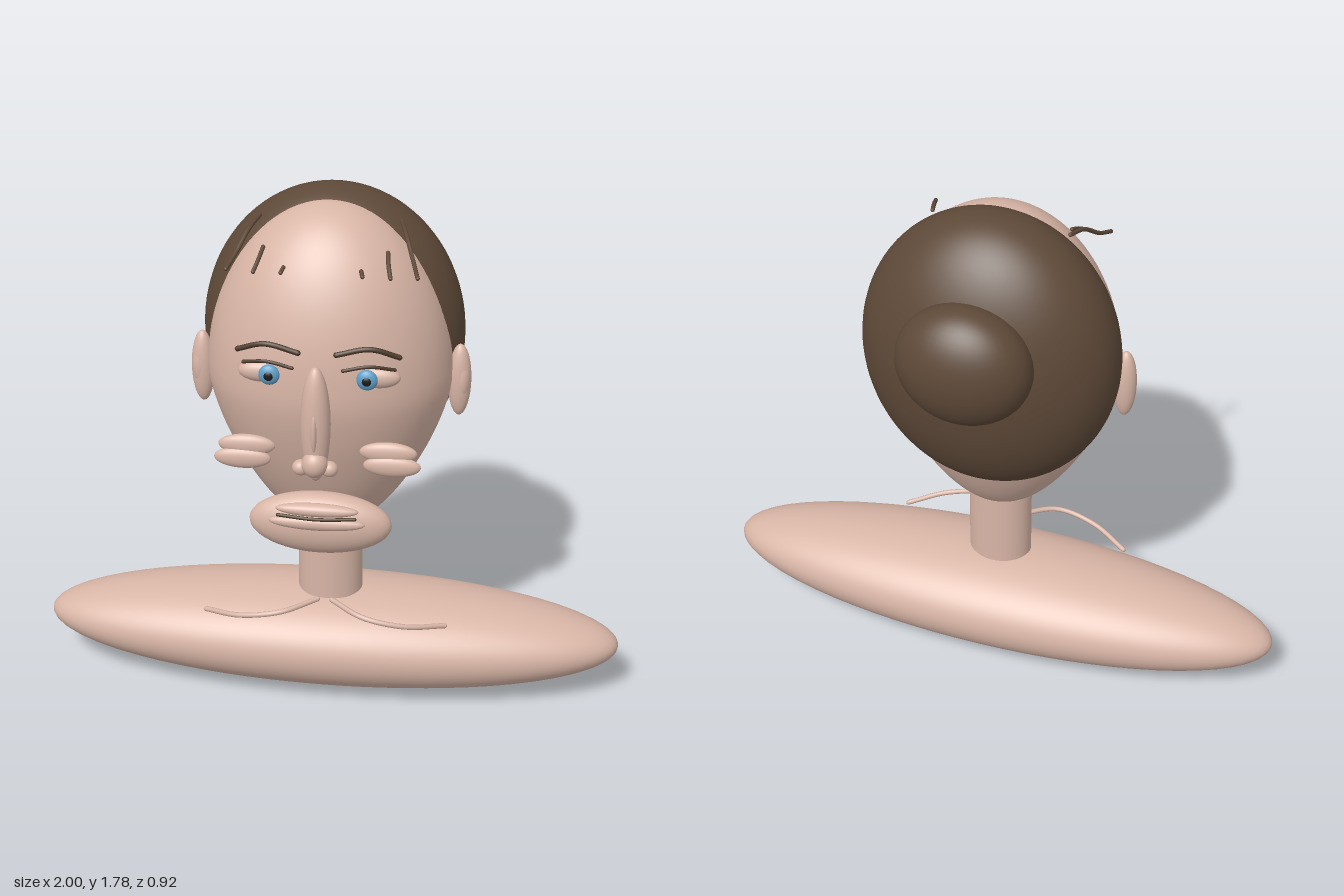
import * as THREE from 'three';
import { mergeVertices } from 'three/addons/utils/BufferGeometryUtils.js';

const mat = (name, color) => {
  const m = new THREE.MeshStandardMaterial({ color });
  m.name = name;
  return m;
};

export function createModel() {
  const skin = mat('skin', 0xd8b5a6);
  const hair = mat('hair', 0x5e4938);
  const brow = mat('brow', 0x4a3728);
  const iris = mat('iris', 0x5f9fc8);
  const pupil = mat('pupil', 0x1c1a1a);

  const model = new THREE.Group();
  model.name = 'bust';

  const add = (name, geometry, material) => {
    const mesh = new THREE.Mesh(geometry, material);
    mesh.name = name;
    model.add(mesh);
    return mesh;
  };
  // Ellipsoid from a centre and three radii
  const ellipsoid = (name, center, radii, material, segments = 32) => {
    const g = new THREE.SphereGeometry(1, segments, Math.ceil(segments * 0.75));
    g.scale(...radii);
    g.translate(...center);
    return add(name, g, material);
  };
  // Round strand through points, closed with small balls at its ends
  const strand = (name, points, radius, material) => {
    const pts = points.map((p) => new THREE.Vector3(...p));
    const curve = new THREE.CatmullRomCurve3(pts);
    add(name, new THREE.TubeGeometry(curve, 20, radius, 8), material);
    for (const p of [pts[0], pts[pts.length - 1]]) {
      ellipsoid(name + 'End', p.toArray(), [radius, radius, radius], material, 8);
    }
  };

  // Shoulders and neck
  ellipsoid('shoulders', [0, 0.185, 0.035], [1, 0.18, 0.265], skin, 64);
  const neck = new THREE.CylinderGeometry(1, 1, 0.36, 40);
  neck.scale(0.11, 1, 0.088);
  neck.translate(0, 0.535, 0.05);
  add('neck', neck, skin);

  // Head: an ellipsoid that narrows toward the jaw
  let head = new THREE.SphereGeometry(1, 64, 48);
  const pos = head.attributes.position;
  for (let i = 0; i < pos.count; i++) {
    const y = pos.getY(i);
    const t = Math.max(0, -y);
    const f = 1 - (0.27 * t * t) / (t + 0.04);
    pos.setXYZ(i, pos.getX(i) * 0.405 * f, 1.18 + y * 0.58, 0.04 + pos.getZ(i) * 0.325 * f);
  }
  head.deleteAttribute('uv');
  head.deleteAttribute('normal');
  head = mergeVertices(head);
  head.computeVertexNormals();
  add('head', head, skin);
  ellipsoid('chin', [0, 0.74, 0.296], [0.235, 0.108, 0.074], skin, 40);

  // Hair and bun
  ellipsoid('hairCap', [0, 1.285, -0.05], [0.432, 0.5, 0.29], hair, 64);
  ellipsoid('hairBun', [0, 1.395, -0.313], [0.224, 0.208, 0.147], hair, 40);

  // Nose
  ellipsoid('noseBridge', [0, 1.142, 0.398], [0.048, 0.197, 0.046], skin);
  ellipsoid('noseRidge', [0, 1.13, 0.425], [0.013, 0.08, 0.027], skin, 16);
  ellipsoid('noseTip', [0, 1.015, 0.422], [0.042, 0.045, 0.038], skin);

  // Mouth
  ellipsoid('upperLip', [0, 0.828, 0.38], [0.135, 0.022, 0.025], skin);
  ellipsoid('lowerLip', [0, 0.785, 0.385], [0.157, 0.026, 0.026], skin);
  strand('mouthLine', [[-0.125, 0.81, 0.395], [0, 0.808, 0.408], [0.125, 0.81, 0.395]], 0.006, brow);

  // Paired parts
  for (const s of [1, -1]) {
    const side = s > 0 ? 'left' : 'right';
    const blob = (name, [x, y, z], radii, m, n) => ellipsoid(side + name, [s * x, y, z], radii, m, n);
    const line = (name, pts, r, m) => strand(side + name, pts.map(([x, y, z]) => [s * x, y, z]), r, m);

    blob('Ear', [0.425, 1.168, 0.053], [0.038, 0.126, 0.034], skin);
    blob('InnerEar', [0.434, 1.17, 0.06], [0.026, 0.072, 0.028], skin, 20);
    blob('Nostril', [0.046, 0.995, 0.41], [0.028, 0.026, 0.026], skin, 20);
    blob('UpperCheek', [0.227, 1.04, 0.362], [0.092, 0.036, 0.022], skin);
    blob('LowerCheek', [0.24, 0.998, 0.372], [0.092, 0.036, 0.022], skin);

    // Eye
    blob('Eye', [0.183, 1.28, 0.315], [0.075, 0.036, 0.03], skin);
    blob('Iris', [0.155, 1.28, 0.343], [0.034, 0.034, 0.018], iris, 24);
    blob('Pupil', [0.155, 1.28, 0.356], [0.016, 0.016, 0.008], pupil, 16);
    line('Lash', [[0.24, 1.312, 0.325], [0.16, 1.328, 0.35], [0.08, 1.312, 0.355]], 0.006, brow);
    line('Brow', [[0.255, 1.36, 0.335], [0.165, 1.39, 0.355], [0.06, 1.368, 0.362]], 0.009, brow);

    // Loose strands on the forehead
    line('LongStrand', [[0.228, 1.7, 0.045], [0.25, 1.68, 0.12], [0.28, 1.625, 0.2], [0.3, 1.597, 0.265]], 0.007, hair);
    line('ShortStrand', [[0.197, 1.64, 0.17], [0.205, 1.615, 0.22], [0.215, 1.59, 0.26]], 0.007, hair);
    line('TinyStrand', [[0.122, 1.602, 0.24], [0.128, 1.592, 0.262]], 0.007, hair);

    // Collarbone
    line('Collarbone', [[0.025, 0.387, 0.2], [0.14, 0.375, 0.282], [0.28, 0.347, 0.275], [0.41, 0.32, 0.205]], 0.009, skin);
  }
  return model;
}
